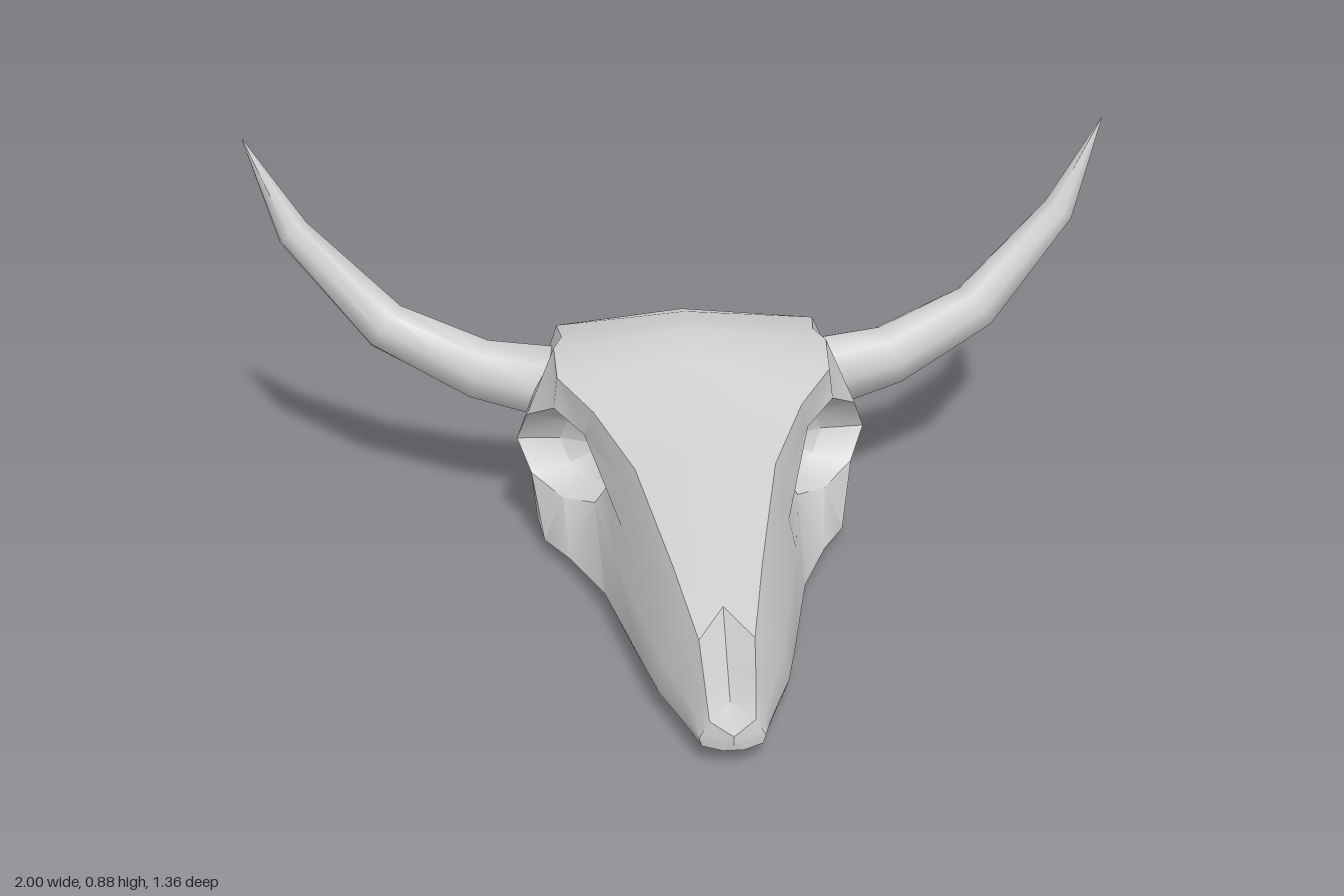
import * as THREE from 'three';
import { toCreasedNormals } from 'three/addons/utils/BufferGeometryUtils.js';

const bone = () => new THREE.MeshStandardMaterial({ color: 0xcccccc });
const V = (x, y, z) => new THREE.Vector3(x, y, z);

// Collects triangles, optionally with their mirror image across x = 0
function surface(mirrored) {
  const pos = [];
  const tri = (a, b, c) => {
    for (const p of [a, b, c]) pos.push(p.x, p.y, p.z);
    if (mirrored) for (const p of [a, c, b]) pos.push(-p.x, p.y, p.z);
  };
  const quad = (a, b, c, d) => { tri(a, b, c); tri(a, c, d); };
  const build = (crease) => {
    const g = new THREE.BufferGeometry();
    g.setAttribute('position', new THREE.Float32BufferAttribute(pos, 3));
    return toCreasedNormals(g, crease);
  };
  return { tri, quad, build };
}

// Half cross-sections, nose to back of the head:
// z, underside y, lower edge x y, jaw line x y, brow edge x y, crown y, side bulge
const SECTIONS = [
  [0.67, 0.04, 0.02, 0.04, 0.02, 0.058, 0.012, 0.08, 0.08, 0],
  [0.65, 0.04, 0.06, 0.04, 0.065, 0.058, 0.045, 0.095, 0.083, 0],
  [0.60, 0.04, 0.075, 0.04, 0.08, 0.058, 0.05, 0.15, 0.105, 0],
  [0.53, 0.04, 0.1, 0.04, 0.105, 0.057, 0.055, 0.205, 0.16, 0.005],
  [0.45, 0.042, 0.13, 0.04, 0.135, 0.056, 0.07, 0.23, 0.232, 0.005],
  [0.34, 0.045, 0.155, 0.04, 0.16, 0.055, 0.09, 0.263, 0.266, 0.005],
  [0.05, 0.045, 0.21, 0.035, 0.22, 0.047, 0.15, 0.345, 0.362, 0],
  [-0.14, 0.045, 0.26, 0.01, 0.29, 0.033, 0.23, 0.395, 0.425, 0],
  [-0.24, 0.045, 0.31, 0, 0.345, 0.03, 0.305, 0.435, 0.48, 0],
  [-0.34, 0.045, 0.31, 0.01, 0.36, 0.04, 0.31, 0.465, 0.505, 0],
  [-0.42, 0.05, 0.29, 0.03, 0.345, 0.07, 0.29, 0.46, 0.495, 0.045],
  [-0.5, 0.06, 0.26, 0.055, 0.32, 0.1, 0.3, 0.455, 0.48, 0.02],
  [-0.58, 0.08, 0.2, 0.07, 0.26, 0.1, 0.28, 0.425, 0.445, 0.025],
];

// Rim of the eye socket: lower, middle and upper point on three sections
const EYE = 7;
const SOCKET = [
  [V(0.23, 0.155, -0.175), V(0.2, 0.215, -0.145), V(0.25, 0.325, -0.175)],
  [V(0.3, 0.14, -0.235), null, V(0.315, 0.36, -0.245)],
  [V(0.37, 0.175, -0.3), V(0.4, 0.25, -0.33), V(0.375, 0.32, -0.305)],
];

function skullGeometry() {
  const rings = SECTIONS.map(([z, yb, ex, ey, sx, sy, tx, ty, yp, bulge], i) => {
    const jaw = V(sx, sy, z), brow = V(tx, ty, z);
    const eye = SOCKET[i - EYE];
    const side = [0.3, 0.55, 0.8].map((t, k) => {
      if (eye) return eye[k];
      const p = jaw.clone().lerp(brow, t);
      p.x += bulge * [0.8, 1, 0.8][k];
      return p;
    });
    return [V(0, yb, z), V(ex, ey, z), jaw, ...side, brow, V(0, yp, z)];
  });
  const first = rings[0], last = rings[rings.length - 1];
  last[0].z = -0.66;
  last[7].z = -0.605;

  const s = surface(true);
  for (let i = 0; i < rings.length - 1; i++) {
    for (let k = 0; k < 7; k++) {
      const inSocket = (i === EYE || i === EYE + 1) && (k === 3 || k === 4);
      if (!inSocket) s.quad(rings[i][k], rings[i + 1][k], rings[i + 1][k + 1], rings[i][k + 1]);
    }
  }

  // Eye socket: rim, sunken ring, pit
  const [f, m, r] = SOCKET;
  const rim = [f[0], m[0], r[0], r[1], r[2], m[2], f[2], f[1]];
  const centre = rim.reduce((a, p) => a.add(p), V(0, 0, 0)).divideScalar(8);
  const inner = rim.map((p) => p.clone().lerp(centre, 0.3).add(V(-0.07, 0, -0.025)));
  const pit = centre.clone().add(V(-0.11, 0, -0.05));
  rim.forEach((p, j) => {
    const n = (j + 1) % 8;
    s.quad(p, rim[n], inner[n], inner[j]);
    s.tri(inner[j], inner[n], pit);
  });

  // Nose tip and rounded back of the head, each closed along a centre line
  const noseLine = first.map((p) => V(0, p.y, 0.677));
  noseLine[1] = first[0];
  noseLine[6] = first[7];
  const backLine = [null, last[0], V(0, 0.12, -0.68), V(0, 0.2, -0.68), V(0, 0.27, -0.67),
    V(0, 0.4, -0.635), last[7]];
  for (let k = 1; k < 6; k++) {
    s.quad(noseLine[k], first[k], first[k + 1], noseLine[k + 1]);
    s.quad(last[k], backLine[k], backLine[k + 1], last[k + 1]);
  }
  return s.build(0.6);
}

// Horn: tapering eight-sided loft along a bent path
function hornGeometry(side) {
  const path = [[0.29, 0.335, -0.435], [0.48, 0.358, -0.485], [0.695, 0.45, -0.545],
    [0.898, 0.665, -0.607], [1, 0.875, -0.655]].map((p) => V(...p));
  const radii = [0.092, 0.075, 0.061, 0.04, 0.001];
  const rings = path.map((p, i) => {
    const t = path[Math.min(i + 1, 4)].clone().sub(path[Math.max(i - 1, 0)]).normalize();
    const u = V(0, 0, 1).addScaledVector(t, -t.z).normalize();
    const v = t.clone().cross(u);
    return Array.from({ length: 8 }, (_, j) => {
      const a = (j / 8) * Math.PI * 2;
      const q = p.clone().addScaledVector(u, Math.cos(a) * radii[i])
        .addScaledVector(v, Math.sin(a) * radii[i]);
      q.x *= side;
      return q;
    });
  });
  const s = surface(false);
  const root = path[0].clone();
  root.x *= side;
  for (let j = 0; j < 8; j++) {
    // Reverse the corner order on the mirrored side
    const [a, b] = side > 0 ? [j, (j + 1) % 8] : [(j + 1) % 8, j];
    s.tri(root, rings[0][b], rings[0][a]);
    for (let i = 0; i < 4; i++) s.quad(rings[i][a], rings[i][b], rings[i + 1][b], rings[i + 1][a]);
  }
  return s.build(0.95);
}

export function createModel() {
  const model = new THREE.Group();
  model.name = 'hornedSkull';
  const add = (name, geometry) => {
    const mesh = new THREE.Mesh(geometry, bone());
    mesh.name = name;
    model.add(mesh);
  };
  add('skull', skullGeometry());
  add('leftHorn', hornGeometry(1));
  add('rightHorn', hornGeometry(-1));
  return model;
}
